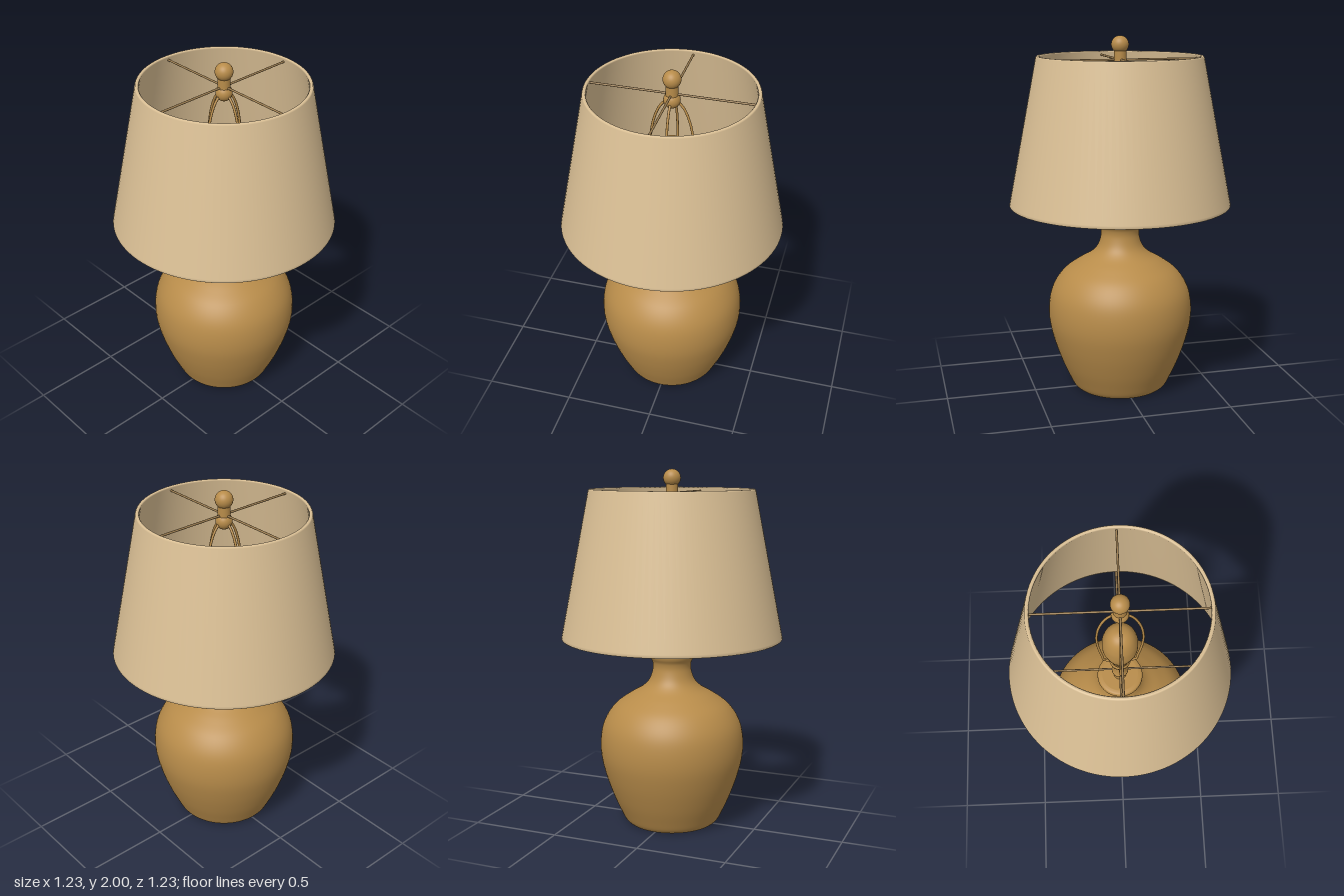
import * as THREE from 'three';

const v2 = (pts) => pts.map(([x, y]) => new THREE.Vector2(x, y));
const smooth = (pts, n) => new THREE.SplineCurve(v2(pts)).getPoints(n);

const brass = new THREE.MeshStandardMaterial({ color: 0xb88c4a });
const linen = new THREE.MeshStandardMaterial({ color: 0xdcc196, side: THREE.DoubleSide });
const wire = new THREE.MeshStandardMaterial({ color: 0x9a7c50 });

export function createModel() {
  const lamp = new THREE.Group();
  lamp.name = 'tableLamp';

  const add = (name, geometry, material, parent = lamp) => {
    const mesh = new THREE.Mesh(geometry, material);
    mesh.name = name;
    parent.add(mesh);
    return mesh;
  };
  const lathe = (name, points, material = brass, segments = 64) =>
    add(name, new THREE.LatheGeometry(points, segments), material);

  // Urn body: flat foot, full belly, narrow neck and rolled lip
  const foot = [[0, 0.004], [0.24, 0.004], [0.252, 0.005]];
  const side = smooth([
    [0.252, 0.005], [0.272, 0.024], [0.295, 0.07], [0.335, 0.16], [0.377, 0.28],
    [0.404, 0.4], [0.404, 0.51], [0.38, 0.6], [0.325, 0.68], [0.245, 0.74],
    [0.17, 0.785], [0.128, 0.83], [0.108, 0.89], [0.109, 0.93], [0.122, 0.956],
    [0.127, 0.975], [0.122, 0.993], [0.1, 1.0],
  ], 90);
  lathe('urnBody', [...v2(foot), ...side.slice(1), new THREE.Vector2(0, 1.0)], brass, 80);

  // Stem with a small bead where the lower spokes meet
  lathe('stem', v2([
    [0.035, 0.995], [0.035, 1.055], [0.046, 1.065], [0.046, 1.085],
    [0.035, 1.095], [0.035, 1.2], [0.055, 1.205], [0.058, 1.22], [0.05, 1.235],
  ]), brass, 32);

  // Flared socket cup and bulb
  lathe('socket', smooth([
    [0.045, 1.23], [0.055, 1.27], [0.075, 1.33], [0.092, 1.4], [0.095, 1.44],
  ], 24), brass, 40);
  lathe('bulb', smooth([
    [0.095, 1.44], [0.092, 1.5], [0.075, 1.56], [0.045, 1.595], [0, 1.61],
  ], 24), brass, 40);

  // Closed, slightly rounded profile gives the shade its wall thickness
  lathe('shade', v2([
    [0.612, 1.07], [0.617, 1.075], [0.615, 1.088], [0.458, 1.885], [0.453, 1.892],
    [0.442, 1.892], [0.437, 1.885], [0.595, 1.085], [0.599, 1.07], [0.612, 1.07],
  ]), linen, 96);

  // Wire crosses holding the shade at its top and bottom rims
  for (const [name, y, length] of [['upperSpoke', 1.87, 0.885], ['lowerSpoke', 1.078, 1.2]]) {
    for (const turn of [0, Math.PI / 2]) {
      const spoke = add(name, new THREE.CylinderGeometry(0.006, 0.006, length, 10), wire);
      spoke.rotation.set(0, turn, Math.PI / 2);
      spoke.position.y = y;
    }
  }

  // Four harp wires curving from the socket collar up to the hub
  const harp = new THREE.Group();
  harp.name = 'harp';
  lamp.add(harp);
  const harpPath = new THREE.CatmullRomCurve3([
    [0.045, 1.215], [0.085, 1.225], [0.095, 1.28], [0.115, 1.42],
    [0.12, 1.56], [0.1, 1.7], [0.065, 1.79], [0.025, 1.835],
  ].map(([x, y]) => new THREE.Vector3(x, y, 0)));
  for (let i = 0; i < 4; i++) {
    const leg = add('harpWire', new THREE.TubeGeometry(harpPath, 40, 0.007, 8), brass, harp);
    leg.rotation.y = i * Math.PI / 2;
  }

  // Hub bead, threaded neck and ball finial
  add('hub', new THREE.SphereGeometry(0.045, 32, 20), brass).position.y = 1.835;
  add('finialNeck', new THREE.CylinderGeometry(0.034, 0.034, 0.075, 32), brass).position.y = 1.88;
  add('finialBall', new THREE.SphereGeometry(0.048, 32, 24), brass).position.y = 1.952;

  return lamp;
}
